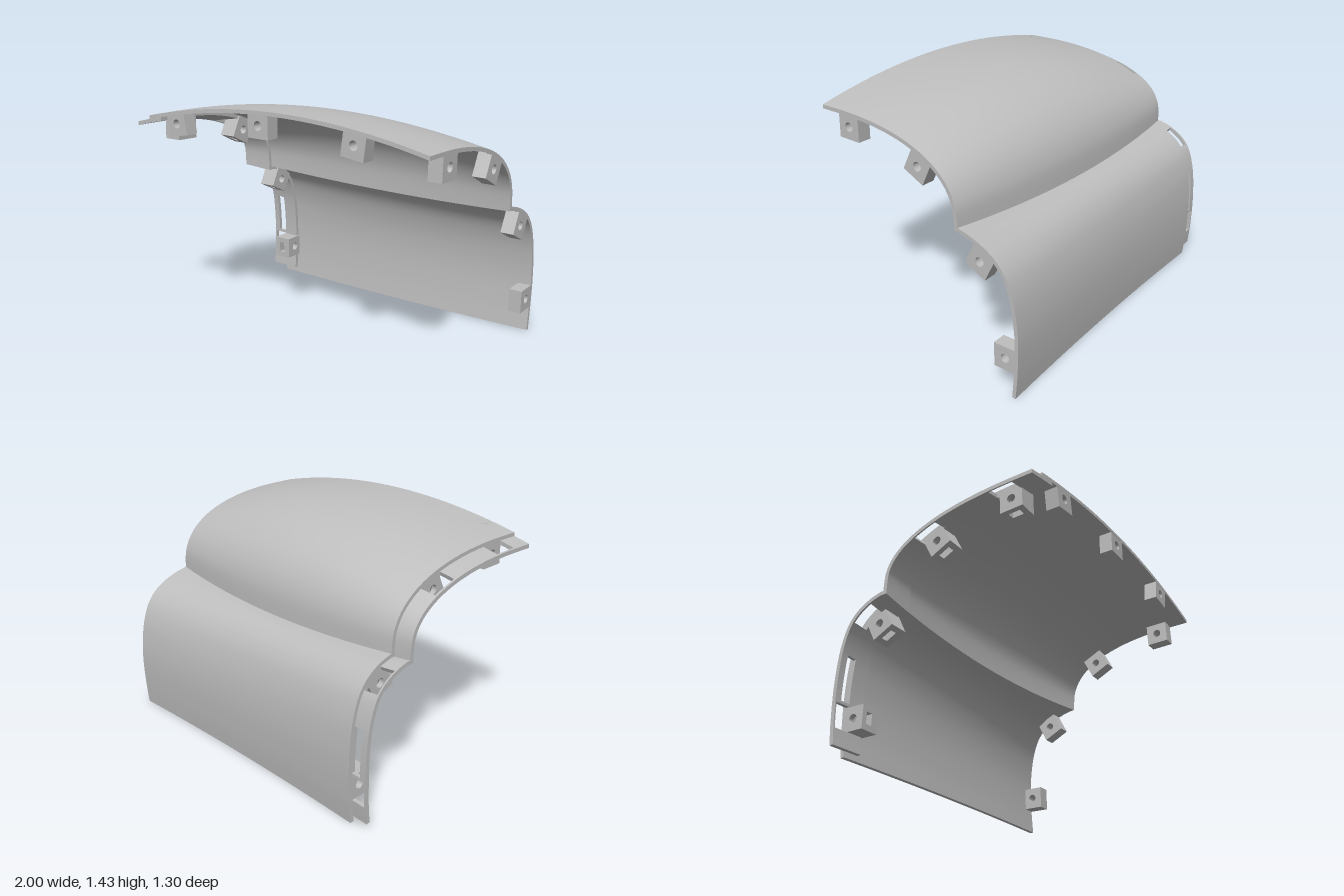
import * as THREE from 'three';
import { toCreasedNormals } from 'three/addons/utils/BufferGeometryUtils.js';

const V = (p) => new THREE.Vector2(p[0], p[1]);

// Upper outer profile as [z, y]: a quarter superellipse from the front edge to the seam
function arch(seamZ, seamY, topY) {
  const n = 12, power = 2 / 2.5;
  return Array.from({ length: n + 1 }, (_, i) => {
    const a = (i / n) * Math.PI / 2;
    return [.65 - (.65 - seamZ) * Math.sin(a) ** power,
      seamY + (topY - seamY) * Math.max(0, Math.cos(a)) ** power];
  });
}

// Outer profiles as [z, y], at the stations x = -0.9, -0.05 and 1
const STATIONS = [-0.9, -0.05, 1];
const PROFILES = {
  upper: [arch(-.328, .878, 1.322), arch(-.354, .838, 1.431), arch(-.278, .872, 1.325)],
  lower: [
    [[-.328, .878], [-.4, .856], [-.465, .82], [-.52, .77], [-.562, .7], [-.596, .58], [-.612, .44], [-.616, .3], [-.61, .14], [-.597, 0]],
    [[-.354, .838], [-.415, .82], [-.472, .784], [-.52, .732], [-.56, .655], [-.59, .545], [-.606, .43], [-.611, .3], [-.605, .14], [-.592, 0]],
    [[-.278, .872], [-.36, .85], [-.445, .814], [-.52, .762], [-.58, .685], [-.622, .57], [-.644, .43], [-.65, .3], [-.643, .14], [-.63, 0]],
  ],
};

// Quadratic blend of the three stations
function profileAt(part, x) {
  const w = STATIONS.map((a, i) =>
    STATIONS.reduce((m, b, j) => (i === j ? m : m * (x - b) / (a - b)), 1));
  const [p, q, r] = PROFILES[part];
  return new THREE.SplineCurve(p.map((_, i) => V([0, 1].map(
    (c) => p[i][c] * w[0] + q[i][c] * w[1] + r[i][c] * w[2]))));
}

// Point on a profile, moved inward by depth d; mitred where the two panels meet
function offsetPoint(part, curve, u, d) {
  const p = curve.getPoint(u);
  const t = curve.getTangent(u);
  const seam = part === 'upper' ? u > 0.999 : u < 0.001;
  return seam ? [p.x + d, p.y - d] : [p.x - t.y * d, p.y + t.x * d];
}

// Profile parameter at which the coordinate (0 = z, 1 = y) falls to a value
function findU(part, coord, value) {
  const curve = profileAt(part, -0.9);
  let lo = 0, hi = 1;
  for (let i = 0; i < 30; i++) {
    const mid = (lo + hi) / 2;
    if (curve.getPoint(mid).getComponent(coord) > value) lo = mid; else hi = mid;
  }
  return lo;
}

// Closed solid: a curved patch x0..x1, u0..u1 between two depths
function patch(part, x0, x1, u0, u1, d0, d1) {
  const nx = Math.max(1, Math.ceil((x1 - x0) / 0.06));
  const nu = Math.max(2, Math.ceil((u1 - u0) * 48));
  const n = 2 * (nu + 1);
  const pos = [], idx = [];
  const quad = (a, b, c, d) => idx.push(a, b, c, a, c, d);
  for (let i = 0; i <= nx; i++) {
    const x = x0 + (x1 - x0) * i / nx;
    const curve = profileAt(part, x);
    for (let k = 0; k < n; k++) {
      const outer = k <= nu;
      const f = (outer ? k : n - 1 - k) / nu;
      const [z, y] = offsetPoint(part, curve, u0 + (u1 - u0) * f, outer ? d0 : d1);
      pos.push(x, y, z);
    }
  }
  for (let i = 0; i < nx; i++) for (let k = 0; k < n; k++) {
    const k2 = (k + 1) % n, a = i * n, b = a + n;
    quad(a + k, b + k, b + k2, a + k2);
  }
  const e = nx * n;
  for (let k = 0; k < nu; k++) {
    const m = n - 1 - k;
    quad(k, k + 1, m - 1, m);
    quad(e + k, e + m, e + m - 1, e + k + 1);
  }
  const g = new THREE.BufferGeometry();
  g.setAttribute('position', new THREE.Float32BufferAttribute(pos, 3));
  g.setIndex(idx);
  return toCreasedNormals(g, 0.6);
}

export function createModel() {
  const model = new THREE.Group();
  model.name = 'curvedPanel';
  const grey = new THREE.MeshStandardMaterial({ color: 0xbebebe });
  grey.name = 'grey plastic';
  const add = (name, geometry, parent = model) => {
    const mesh = new THREE.Mesh(geometry, grey);
    mesh.name = name;
    parent.add(mesh);
    return mesh;
  };

  // Main skin
  const T = 0.022;
  add('upperPanel', patch('upper', -0.9, 1, 0, 1, 0, T));
  add('lowerPanel', patch('lower', -0.9, 1, 0, 1, 0, T));

  // Recessed joining flange with windows: [from, to, x of the window's outer side]
  const flange = new THREE.Group();
  flange.name = 'joiningFlange';
  model.add(flange);
  const buildFlange = (part, coord, uEnd, windows) => {
    const strip = (x0, x1, a, b) => add(part + 'Flange', patch(part, x0, x1, a, b, T - 0.001, 2 * T), flange);
    strip(-0.9, -0.8, 0, uEnd);
    let u = 0;
    for (const [from, to, xw] of windows) {
      const a = findU(part, coord, from), b = findU(part, coord, to);
      strip(-1, -0.9, u, a);
      strip(-1, xw, a, b);
      u = b;
    }
    strip(-1, -0.9, u, uEnd);
  };
  buildFlange('upper', 0, 1, [[.52, .37, -.99], [.01, -.135, -.99]]);
  buildFlange('lower', 1, findU('lower', 1, .035),
    [[.85, .752, -.99], [.565, .3, -.96], [.283, .135, -.99]]);

  // Screw blocks: square slices with a round hole, or with a nut slot open below
  const S = 0.07, R = 0.026;
  const slice = (depth, slotted) => {
    const pts = slotted
      ? [[-S, -S], [-.035, -S], [-.035, .035], [.035, .035], [.035, -S], [S, -S], [S, S], [-S, S]]
      : [[-S, -S], [S, -S], [S, S], [-S, S]];
    const shape = new THREE.Shape(pts.map(V));
    if (!slotted) shape.holes.push(new THREE.Path().absarc(0, 0, R, 0, Math.PI * 2, true));
    return new THREE.ExtrudeGeometry(shape, { depth, bevelEnabled: false, curveSegments: 20 });
  };
  const block = (name, slices, tilt, place) => {
    const holder = new THREE.Group();
    holder.name = name;
    let at = 0;
    for (const [depth, slotted] of slices) {
      const mesh = add(name + 'Slice', slice(depth, slotted), holder);
      mesh.position.z = at;
      mesh.rotation.z = THREE.MathUtils.degToRad(tilt);
      at += depth;
    }
    place(holder);
    model.add(holder);
  };
  const sideways = (x, y, z) => (h) => {
    h.rotation.y = Math.PI / 2;
    h.position.set(x, y, z);
  };

  // Blocks along the model's left edge: [z, y, tilt]
  for (const [z, y, tilt] of [[.457, 1.238, -2], [-.025, 1.135, -27], [-.415, .727, -27], [-.565, .222, -90]])
    block('leftEdgeBlock', [[.08, false]], tilt, sideways(.92, y, z));

  // Blocks behind the flange, each with a nut slot
  for (const [z, y, tilt] of [[.457, 1.235, -2], [-.03, 1.147, -27], [-.405, .742, -27], [-.537, .21, -90]])
    block('flangeBlock', [[.03, false], [.04, true], [.042, false]], tilt, sideways(-.9, y, z));

  // Blocks along the front edge: [x, y, tilt]
  for (const [x, y, tilt] of [[-.67, 1.296, 9], [-.05, 1.351, 0], [.57, 1.321, -8]])
    block('frontEdgeBlock', [[.08, false]], tilt, (h) => h.position.set(x, y, .57));

  return model;
}
